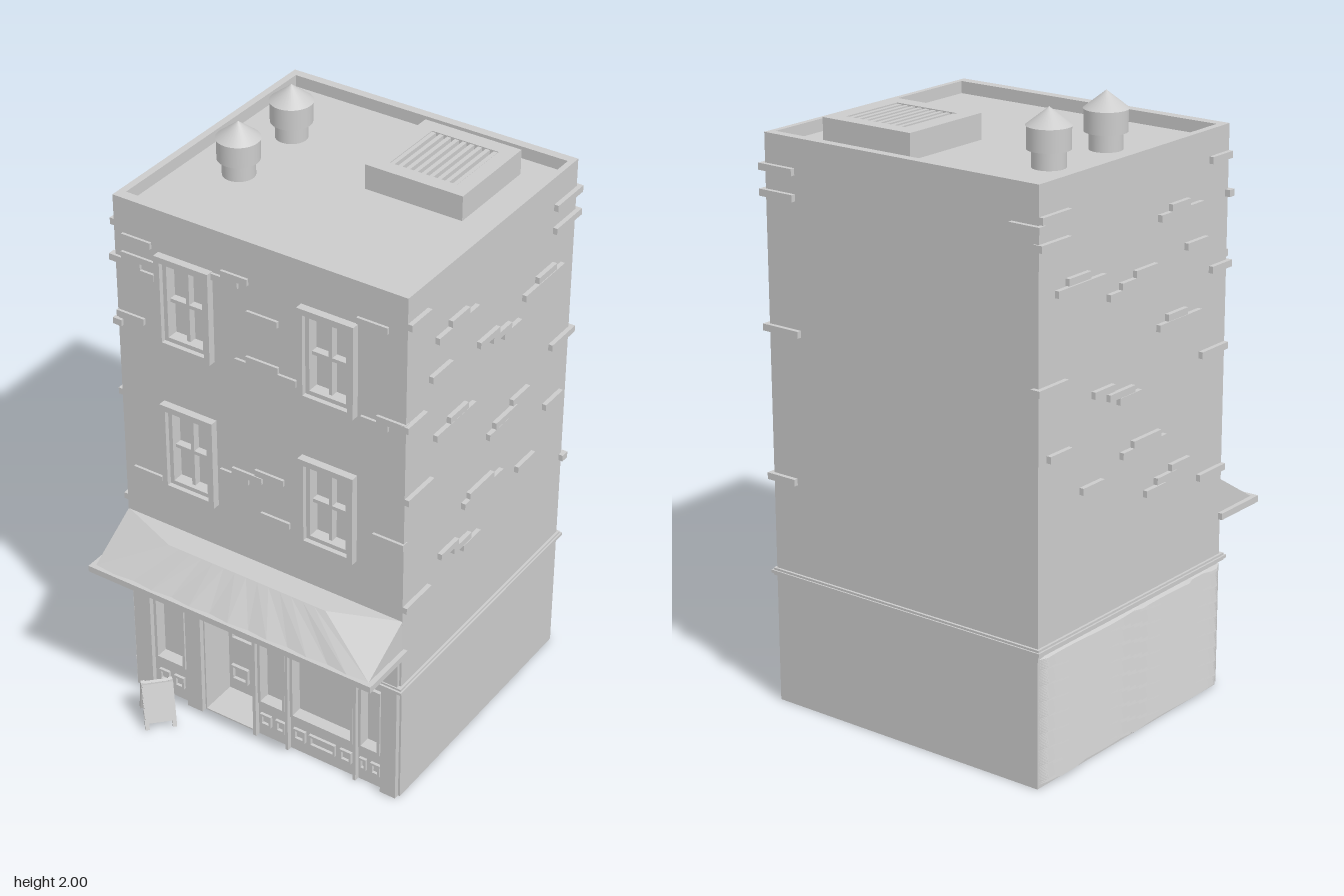
import * as THREE from 'three';

const grey = new THREE.MeshStandardMaterial({ color: 0xcccccc, flatShading: true, side: THREE.DoubleSide });
const smooth = new THREE.MeshStandardMaterial({ color: 0xcccccc });

function add(parent, name, geo, mat = grey) {
  const m = new THREE.Mesh(geo, mat);
  m.name = name;
  parent.add(m);
  return m;
}

// Box given by its limits
function box(parent, name, x0, x1, y0, y1, z0, z1) {
  const m = add(parent, name, new THREE.BoxGeometry(x1 - x0, y1 - y0, z1 - z0));
  m.position.set((x0 + x1) / 2, (y0 + y1) / 2, (z0 + z1) / 2);
  return m;
}

function rect(Kind, [x0, x1, y0, y1]) {
  const p = new Kind();
  p.moveTo(x0, y0); p.lineTo(x1, y0); p.lineTo(x1, y1); p.lineTo(x0, y1); p.closePath();
  return p;
}

// Rectangular slab with rectangular holes, extruded from z0 to z1
function slab(parent, name, outer, holes, z0, z1) {
  const s = rect(THREE.Shape, outer);
  s.holes = holes.map(h => rect(THREE.Path, h));
  const m = add(parent, name, new THREE.ExtrudeGeometry(s, { depth: z1 - z0, bevelEnabled: false }));
  m.position.z = z0;
  return m;
}

// Picture-frame moulding around a rectangle
const frame = (parent, name, [x0, x1, y0, y1], t, z0, z1) =>
  slab(parent, name, [x0, x1, y0, y1], [[x0 + t, x1 - t, y0 + t, y1 - t]], z0, z1);

const W = 0.517, BACK = -0.565, FRONT = 0.385;

function upperStoreys(g) {
  const holes = [];
  for (const cx of [-0.257, 0.253]) for (const y of [0.87, 1.4]) holes.push([cx - 0.078, cx + 0.078, y + 0.02, y + 0.297]);
  box(g, 'upperCore', -W, W, 0.45, 1.82, BACK, 0.355);
  slab(g, 'upperFrontWall', [-W, W, 0.45, 1.82], holes, 0.355, FRONT);
  holes.forEach(([x0, x1, y0, y1]) => {
    const w = new THREE.Group();
    w.name = 'window';
    frame(w, 'windowSurround', [x0 - 0.02, x1 + 0.02, y0 - 0.02, y1 + 0.02], 0.02, FRONT, 0.411);
    frame(w, 'windowSash', [x0, x1, y0, y1], 0.014, 0.356, 0.395);
    const cx = (x0 + x1) / 2, cy = (y0 + y1) / 2;
    box(w, 'verticalBar', cx - 0.006, cx + 0.006, y0, y1, 0.355, 0.38);
    box(w, 'crossBar', x0, x1, cy - 0.006, cy + 0.006, 0.355, 0.38);
    g.add(w);
  });
  // Parapet ring laid flat round the roof
  const p = slab(g, 'parapet', [-W, W, -FRONT, -BACK], [[-0.493, 0.498, -0.35, 0.535]], 0, 0.04);
  p.rotation.x = -Math.PI / 2;
  p.position.y = 1.82;
}

function bricks(g) {
  const h = 0.011;
  // [start, end, height] along each wall
  const front = [[-0.485, -0.38, 1.73], [-0.535, -0.42, 1.645], [-0.49, -0.36, 1.667], [-0.475, -0.37, 1.623],
    [-0.16, -0.065, 1.703], [-0.125, -0.03, 1.725], [-0.035, 0.075, 1.617], [0.35, 0.455, 1.733],
    [-0.517, -0.415, 1.452], [-0.08, 0.14, 1.435], [-0.04, 0.075, 1.457], [0.365, 0.46, 1.4], [0.42, 0.52, 1.422],
    [-0.145, -0.04, 1.008], [-0.1, 0.01, 1.03], [-0.015, 0.09, 1.055], [0.005, 0.11, 0.902],
    [-0.48, -0.37, 0.885], [0.41, 0.52, 0.993]];
  const side = [[0.28, 0.385, 1.765], [0.015, 0.235, 1.64], [0.07, 0.165, 1.662], [0.155, 0.265, 1.523],
    [0.29, 0.395, 1.42], [-0.11, 0, 1.498], [-0.18, -0.075, 1.476], [-0.24, -0.14, 1.455], [-0.49, -0.26, 1.525],
    [-0.44, -0.335, 1.55], [0.015, 0.235, 1.3], [0.06, 0.16, 1.323], [0.245, 0.385, 1.157], [-0.185, -0.075, 1.123],
    [-0.235, -0.11, 1.146], [-0.31, -0.21, 1.175], [-0.165, 0.06, 0.945], [-0.11, 0.03, 0.967], [0.09, 0.19, 0.835],
    [0.015, 0.115, 0.812], [-0.04, 0.06, 0.787], [0.245, 0.385, 0.755], [-0.365, -0.26, 0.892], [-0.525, -0.42, 1.037],
    [-0.58, -0.44, 1.25], [-0.565, -0.43, 1.755], [-0.57, -0.43, 1.675]];
  const back = [[0.4, 0.532, 1.755], [0.4, 0.532, 1.675], [0.39, 0.532, 1.25], [0.42, 0.532, 0.765], [-0.53, -0.42, 1.73]];
  for (const [a, b, y] of front) box(g, 'frontBrick', a, b, y - h, y + h, 0.37, 0.394);
  for (const [a, b, y] of side) {
    box(g, 'leftBrick', 0.5, 0.532, y - h, y + h, a, b);
    box(g, 'rightBrick', -0.532, -0.5, y - h, y + h, a, b);
  }
  for (const [a, b, y] of back) box(g, 'backBrick', a, b, y - h, y + h, -0.58, -0.55);
}

function shopFront(g) {
  const windows = [[-0.43, -0.31, 0.14, 0.395], [-0.02, 0.085, 0.14, 0.395], [0.105, 0.345, 0.14, 0.395], [0.365, 0.445, 0.14, 0.395]];
  const doorway = [-0.235, -0.04, 0.005, 0.425];
  box(g, 'groundCore', -W, W, 0, 0.44, BACK, 0.25);
  slab(g, 'shopWall', [-W, W, 0, 0.44], [...windows, doorway], 0.25, 0.38);
  for (const r of windows) {
    box(g, 'shopGlass', ...r, 0.34, 0.35);
    frame(g, 'shopWindowFrame', r, 0.01, 0.35, 0.392);
  }
  // Recessed door
  frame(g, 'doorGlassFrame', [-0.222, -0.052, 0.225, 0.415], 0.01, 0.25, 0.262);
  for (const x of [-0.22, -0.118]) frame(g, 'doorPanel', [x, x + 0.066, 0.055, 0.115], 0.008, 0.25, 0.262);
  // Small panels below the windows
  for (const [a, b] of [[-0.42, -0.38], [-0.36, -0.32], [-0.015, 0.027], [0.045, 0.082], [0.115, 0.16],
    [0.175, 0.275], [0.293, 0.337], [0.367, 0.393], [0.41, 0.445]]) frame(g, 'lowPanel', [a, b, 0.05, 0.095], 0.008, 0.38, 0.39);
  for (const [a, b] of [[-0.505, -0.44], [-0.3, -0.24], [-0.037, -0.025], [0.09, 0.1], [0.35, 0.36], [0.453, 0.51]])
    box(g, 'pilaster', a, b, 0, 0.44, 0.37, 0.398);
  for (const [a, b] of [[-0.505, -0.44], [0.453, 0.51]]) box(g, 'signPilaster', a, b, 0.45, 0.58, 0.37, 0.396);
  box(g, 'signBoard', -0.435, 0.448, 0.455, 0.575, 0.37, 0.39);
  // Cornice round the whole building
  box(g, 'cornice', -0.525, 0.525, 0.432, 0.456, -0.573, 0.4);
  box(g, 'corniceBead', -0.531, 0.531, 0.439, 0.449, -0.578, 0.407);
}

function awning(g) {
  const pts = [], tri = (...v) => v.forEach(p => pts.push(...p));
  const n = 14, top = [], low = [];
  for (let i = 0; i <= n; i++) {
    const t = i / n * 2 - 1;
    top.push([0.295 * t, 0.71, 0.47]);
    low.push([0.515 * t, 0.597, 0.566 + (i % 2 ? 0.007 : 0)]);
  }
  // Pleated front slope
  for (let i = 0; i < n; i++) {
    tri(top[i], low[i], low[i + 1]);
    tri(top[i], low[i + 1], top[i + 1]);
  }
  // Flat top and side slopes
  const L = [-W, 0.71, 0.383], R = [W, 0.71, 0.383];
  tri(L, top[0], top[n]); tri(L, top[n], R);
  tri(R, top[n], low[n]); tri(R, low[n], [W, 0.597, 0.383]);
  tri(L, low[0], top[0]); tri(L, [-W, 0.597, 0.383], low[0]);
  const geo = new THREE.BufferGeometry();
  geo.setAttribute('position', new THREE.Float32BufferAttribute(pts, 3));
  geo.computeVertexNormals();
  add(g, 'awningCanopy', geo);
  // Rim bars
  box(g, 'awningFrontRim', -0.532, 0.532, 0.576, 0.598, 0.565, 0.583);
  box(g, 'awningBackRim', -0.532, 0.532, 0.576, 0.598, 0.375, 0.395);
  for (const s of [-1, 1]) box(g, 'awningSideRim', s * 0.523 - 0.009, s * 0.523 + 0.009, 0.576, 0.598, 0.38, 0.58);
}

function roofParts(g) {
  // Capped chimney pipes
  const profile = [[0, 0], [0.052, 0], [0.052, 0.055], [0.067, 0.055], [0.067, 0.125], [0.07, 0.125], [0, 0.18]];
  const pts = [];
  profile.forEach(([r, y], i) => { pts.push(new THREE.Vector2(r, y)); if (i > 0 && i < 6) pts.push(new THREE.Vector2(r, y)); });
  for (const z of [-0.26, 0.02]) add(g, 'roofVentPipe', new THREE.LatheGeometry(pts, 32), smooth).position.set(-0.32, 1.82, z);
  // Ventilation box with slats
  const v = slab(g, 'ventBox', [0.045, 0.385, 0.115, 0.45], [[0.1, 0.335, 0.165, 0.4]], 0, 0.083);
  v.rotation.x = -Math.PI / 2;
  v.position.y = 1.82;
  box(g, 'ventFloor', 0.09, 0.345, 1.82, 1.865, -0.41, -0.155);
  for (let i = 0; i < 9; i++) {
    const x = 0.107 + i * 0.0272;
    box(g, 'ventSlat', x - 0.007, x + 0.007, 1.875, 1.9, -0.4, -0.165);
  }
}

// Rippled cladding on the right ground-floor wall
function cladding(g) {
  const geo = new THREE.PlaneGeometry(0.945, 0.415, 30, 88);
  const p = geo.attributes.position;
  for (let i = 0; i < p.count; i++) {
    const u = p.getX(i), y = p.getY(i);
    const t = (y + 0.018 * Math.sin(u * 13) + 0.06 * u) / 0.052 + 20;
    const edge = Math.abs(u) > 0.47 || Math.abs(y) > 0.205;
    p.setZ(i, edge ? 0 : 0.006 + 0.013 * (1 - (t - Math.floor(t))));
  }
  geo.computeVertexNormals();
  const m = add(g, 'rippledCladding', geo);
  m.rotation.y = -Math.PI / 2;
  m.position.set(-W, 0.217, -0.088);
}

// Folding pavement board, turned to the street corner
function pavementBoard(g) {
  const b = new THREE.Group();
  b.name = 'pavementBoard';
  for (const s of [1, -1]) {
    const leaf = new THREE.Group();
    leaf.name = s > 0 ? 'frontLeaf' : 'backLeaf';
    for (const e of [-1, 1]) box(leaf, 'leg', e * 0.045 - 0.007, e * 0.045 + 0.007, -0.158, 0, -0.006, 0.006);
    if (s > 0) box(leaf, 'board', -0.05, 0.05, -0.135, 0, -0.004, 0.009);
    else for (const y of [-0.012, -0.065, -0.115]) box(leaf, 'rung', -0.045, 0.045, y - 0.008, y + 0.008, -0.005, 0.005);
    leaf.rotation.x = -s * 0.34;
    leaf.position.set(0, 0.152, s * 0.006);
    b.add(leaf);
  }
  b.rotation.y = 0.8;
  b.position.set(-0.345, 0, 0.5);
  g.add(b);
}

export function createModel() {
  const g = new THREE.Group();
  g.name = 'cornerCafeBuilding';
  for (const part of [upperStoreys, bricks, shopFront, awning, roofParts, cladding, pavementBoard]) part(g);
  return g;
}
